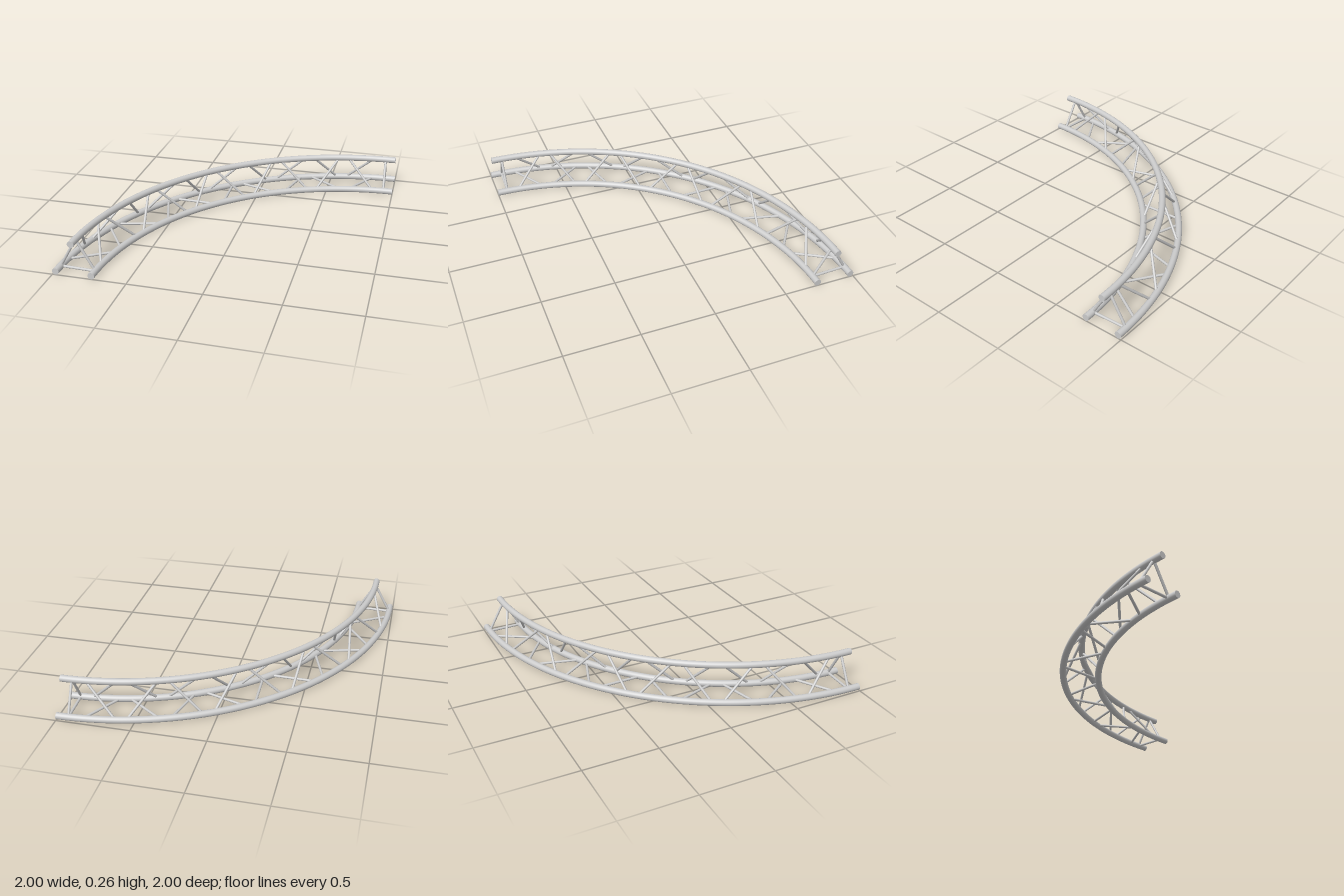
import * as THREE from 'three';

const TUBE = 0.023, ROD = 0.009, CENTRE = 1;
// Three chords of a triangular truss: bend radius and height
const CHORDS = {
  outer: { R: 1.977, y: 0.023 },
  top: { R: 1.8555, y: 0.233 },
  inner: { R: 1.734, y: 0.023 },
};

// Point on a chord at an angle in degrees along the quarter bend
function at(chord, deg) {
  const a = THREE.MathUtils.degToRad(deg);
  return new THREE.Vector3(CENTRE - chord.R * Math.cos(a), chord.y, CENTRE - chord.R * Math.sin(a));
}

export function createModel() {
  const model = new THREE.Group();
  model.name = 'curvedTruss';
  const mat = new THREE.MeshStandardMaterial({ color: 0xcccccc });

  function add(name, geometry, parent = model) {
    const mesh = new THREE.Mesh(geometry, mat);
    mesh.name = name;
    parent.add(mesh);
    return mesh;
  }

  // Straight rod between two points
  function rod(name, a, b, parent) {
    const mesh = add(name, new THREE.CylinderGeometry(ROD, ROD, a.distanceTo(b), 12), parent);
    mesh.position.copy(a).lerp(b, 0.5);
    mesh.quaternion.setFromUnitVectors(new THREE.Vector3(0, 1, 0), b.clone().sub(a).normalize());
  }

  // Curved main tubes with end caps
  for (const [name, c] of Object.entries(CHORDS)) {
    const g = new THREE.TorusGeometry(c.R, TUBE, 20, 72, Math.PI / 2);
    g.rotateZ(Math.PI / 2).rotateX(-Math.PI / 2).translate(CENTRE, c.y, CENTRE);
    add(name + 'Chord', g);
    add(name + 'CapFront', new THREE.CircleGeometry(TUBE, 20)).position.copy(at(c, 0));
    const side = add(name + 'CapSide', new THREE.CircleGeometry(TUBE, 20));
    side.position.copy(at(c, 90));
    side.rotation.y = Math.PI / 2;
  }

  // Zigzag lacing on each face: the first chord holds the even nodes, the second the odd ones
  const BAYS = 10, START = 4, STEP = 8.2, GAP = 1.05;
  const faces = [
    ['outerFace', CHORDS.top, CHORDS.outer],
    ['innerFace', CHORDS.inner, CHORDS.top],
    ['bottomFace', CHORDS.outer, CHORDS.inner],
  ];
  for (const [name, even, odd] of faces) {
    const face = new THREE.Group();
    face.name = name;
    model.add(face);
    for (let k = 0; k < BAYS; k++) {
      const [from, to] = k % 2 ? [odd, even] : [even, odd];
      const deg = START + k * STEP;
      rod('diagonal', at(from, deg + GAP), at(to, deg + STEP - GAP), face);
    }
    // Cross braces closing both ends
    for (const deg of [2.3, 87.7]) rod('endBrace', at(even, deg), at(odd, deg), face);
  }
  return model;
}
